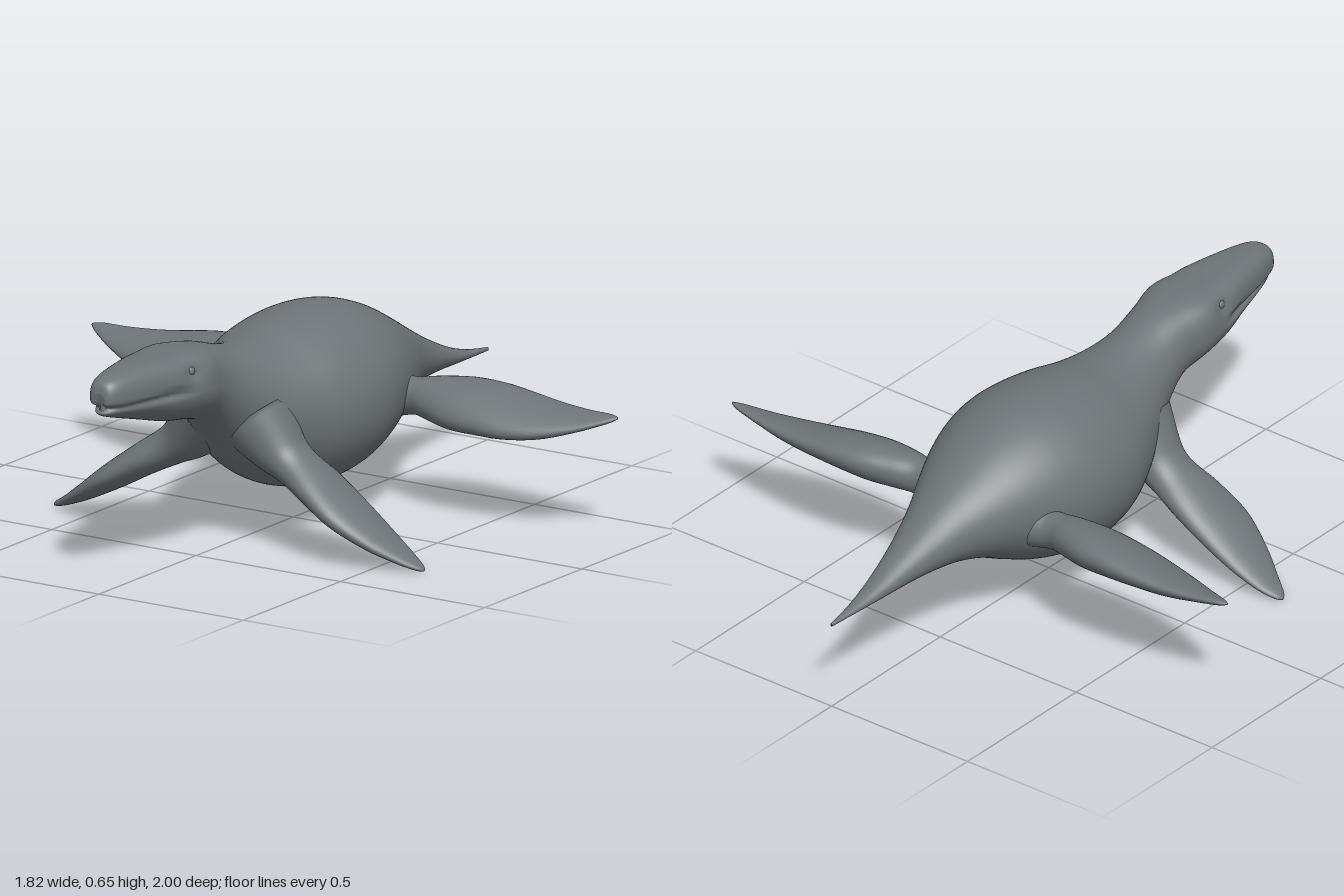
import * as THREE from 'three';

const RING = 96;

// Smoothly resample rows of station values (Catmull-Rom on every column)
function resample(rows, steps) {
  const out = [];
  const n = rows.length - 1;
  for (let s = 0; s <= n * steps; s++) {
    const i = Math.min(Math.floor(s / steps), n - 1);
    const t = s / steps - i;
    const p0 = rows[Math.max(i - 1, 0)], p1 = rows[i];
    const p2 = rows[i + 1], p3 = rows[Math.min(i + 2, n)];
    out.push(p1.map((b, k) => {
      const a = p0[k], c = p2[k], d = p3[k];
      return b + 0.5 * t * (c - a + t * (2 * a - 5 * b + 4 * c - d + t * (3 * (b - c) + d - a)));
    }));
  }
  return out;
}

// Skin a list of closed rings, with a centre point closing each end
function loft(rings, flip = false) {
  const n = rings[0].length, pos = [], index = [];
  const tri = (a, b, c) => (flip ? index.push(a, c, b) : index.push(a, b, c));
  rings.forEach((ring) => ring.forEach((p) => pos.push(p.x, p.y, p.z)));
  for (let i = 0; i < rings.length - 1; i++) {
    for (let j = 0; j < n; j++) {
      const k = (j + 1) % n, a = i * n, b = a + n;
      tri(a + j, b + j, a + k);
      tri(a + k, b + j, b + k);
    }
  }
  [0, rings.length - 1].forEach((r) => {
    const mid = new THREE.Vector3();
    rings[r].forEach((p) => mid.addScaledVector(p, 1 / n));
    const m = pos.length / 3;
    pos.push(mid.x, mid.y, mid.z);
    for (let j = 0; j < n; j++) {
      const a = r * n + j, b = r * n + (j + 1) % n;
      if (r === 0) tri(m, a, b);
      else tri(m, b, a);
    }
  });
  const g = new THREE.BufferGeometry();
  g.setAttribute('position', new THREE.Float32BufferAttribute(pos, 3));
  g.setIndex(index);
  g.computeVertexNormals();
  return g;
}

const bump = (d, r) => Math.exp(-(d * d) / (r * r));
const power = (v, e) => Math.sign(v) * Math.abs(v) ** e;

// Snout to tail: z, top, bottom, half width, squareness of the upper half
const BODY = [
  [1.0, 0.6, 0.548, 0.02, 0.8],
  [0.99, 0.628, 0.535, 0.037, 0.8],
  [0.96, 0.643, 0.524, 0.054, 0.75],
  [0.9, 0.651, 0.507, 0.071, 0.7],
  [0.8, 0.655, 0.48, 0.092, 0.62],
  [0.7, 0.654, 0.453, 0.115, 0.6],
  [0.6, 0.655, 0.436, 0.126, 0.65],
  [0.5, 0.643, 0.405, 0.114, 0.85],
  [0.4, 0.614, 0.32, 0.13, 1],
  [0.3, 0.594, 0.225, 0.172, 1],
  [0.2, 0.593, 0.16, 0.22, 1],
  [0.1, 0.61, 0.122, 0.258, 1],
  [0, 0.622, 0.11, 0.275, 1],
  [-0.1, 0.625, 0.118, 0.274, 1],
  [-0.2, 0.613, 0.144, 0.252, 1],
  [-0.3, 0.58, 0.187, 0.215, 1],
  [-0.4, 0.53, 0.235, 0.168, 1],
  [-0.5, 0.475, 0.263, 0.12, 1],
  [-0.6, 0.42, 0.274, 0.085, 1],
  [-0.7, 0.37, 0.276, 0.058, 1],
  [-0.8, 0.327, 0.274, 0.037, 1],
  [-0.9, 0.297, 0.272, 0.019, 1],
  [-1.0, 0.281, 0.27, 0.004, 1],
];

function bodyGeometry() {
  return loft(resample(BODY, 5).map(([z, top, bottom, w, e]) => {
    const mouth = THREE.MathUtils.smoothstep(z, 0.64, 0.78);
    return Array.from({ length: RING }, (_, j) => {
      const a = (j / RING) * Math.PI * 2, c = Math.cos(a), s = Math.sin(a);
      const k = s > 0 ? e : 1;
      const y = (top + bottom) / 2 + ((top - bottom) / 2) * power(s, k);
      let x = w * power(c, k);
      // mouth groove and eye sockets
      const groove = mouth * bump(y - 0.555, 0.009);
      x *= 1 - 0.16 * groove;
      x -= Math.sign(c) * 0.016 * bump(Math.hypot(z - 0.67, y - 0.608), 0.03) * Math.abs(c);
      return new THREE.Vector3(x, y, z - 0.02 * groove * THREE.MathUtils.smoothstep(z, 0.93, 1));
    });
  }));
}

// Flipper stations: x, y, z, half chord, half thickness
const FRONT_FLIPPER = [
  [0.08, 0.38, 0.3, 0.12, 0.11],
  [0.15, 0.305, 0.3, 0.088, 0.082],
  [0.21, 0.26, 0.298, 0.08, 0.06],
  [0.3, 0.207, 0.303, 0.098, 0.05],
  [0.4, 0.143, 0.309, 0.102, 0.041],
  [0.5, 0.08, 0.298, 0.079, 0.028],
  [0.58, 0.035, 0.284, 0.046, 0.016],
  [0.625, 0.014, 0.279, 0.021, 0.009],
  [0.64, 0.007, 0.277, 0.004, 0.003],
];
const REAR_FLIPPER = [
  [0.1, 0.34, -0.27, 0.1, 0.09],
  [0.2, 0.34, -0.27, 0.064, 0.062],
  [0.25, 0.343, -0.27, 0.056, 0.055],
  [0.31, 0.345, -0.271, 0.078, 0.059],
  [0.4, 0.343, -0.274, 0.107, 0.062],
  [0.5, 0.34, -0.276, 0.115, 0.055],
  [0.6, 0.334, -0.277, 0.109, 0.044],
  [0.7, 0.334, -0.284, 0.088, 0.033],
  [0.8, 0.345, -0.298, 0.056, 0.019],
  [0.88, 0.36, -0.313, 0.024, 0.01],
  [0.91, 0.366, -0.317, 0.004, 0.003],
];

function flipperGeometry(stations, tilt, side) {
  const rows = resample(stations, 5);
  const at = (i) => new THREE.Vector3(...rows[THREE.MathUtils.clamp(i, 0, rows.length - 1)].slice(0, 3));
  const chord = new THREE.Vector3(0, -Math.sin(tilt), Math.cos(tilt));
  const rings = rows.map((row, i) => {
    const along = at(i + 1).sub(at(i - 1));
    const up = chord.clone().cross(along).normalize();
    return Array.from({ length: 40 }, (_, j) => {
      const a = (j / 40) * Math.PI * 2;
      const p = at(i).addScaledVector(chord, row[3] * Math.cos(a)).addScaledVector(up, row[4] * Math.sin(a));
      p.x *= side;
      return p;
    });
  });
  return loft(rings, side < 0);
}

export function createModel() {
  const group = new THREE.Group();
  const skin = new THREE.MeshStandardMaterial({ color: 0x6e7477 });
  skin.name = 'slate grey skin';
  const add = (name, geometry) => {
    const mesh = new THREE.Mesh(geometry, skin);
    mesh.name = name;
    group.add(mesh);
    return mesh;
  };

  add('body', bodyGeometry());
  for (const [side, label] of [[1, 'left'], [-1, 'right']]) {
    add(label + 'FrontFlipper', flipperGeometry(FRONT_FLIPPER, 0, side));
    add(label + 'RearFlipper', flipperGeometry(REAR_FLIPPER, 0.33, side));
    const eye = add(label + 'Eye', new THREE.SphereGeometry(0.016, 20, 14));
    eye.position.set(side * 0.091, 0.608, 0.67);
  }
  return group;
}
